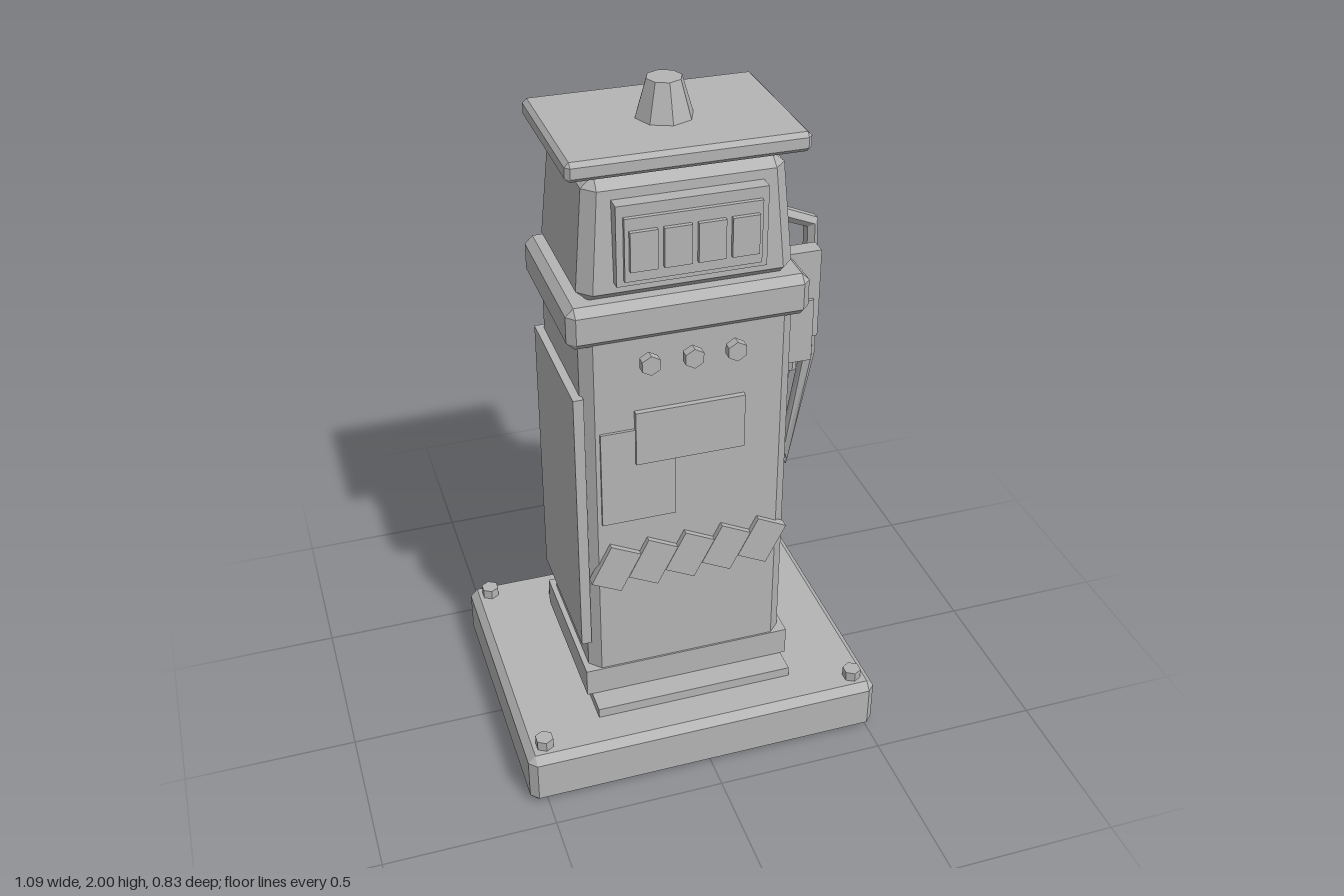
import * as THREE from 'three';
import { ConvexGeometry } from 'three/addons/geometries/ConvexGeometry.js';

const grey = new THREE.MeshStandardMaterial({ color: 0xb4b4b4, flatShading: true });
grey.name = 'plain grey';
const CX = -0.015; // centre line of the pump body

export function createModel() {
  const root = new THREE.Group();
  root.name = 'fuelPump';

  const add = (name, geometry, x = 0, y = 0, z = 0) => {
    const mesh = new THREE.Mesh(geometry, grey);
    mesh.name = name;
    mesh.position.set(x, y, z);
    root.add(mesh);
    return mesh;
  };

  // Box given by its limits on each axis
  const box = (name, x0, x1, y0, y1, z0, z1) =>
    add(name, new THREE.BoxGeometry(x1 - x0, y1 - y0, z1 - z0), (x0 + x1) / 2, (y0 + y1) / 2, (z0 + z1) / 2);

  // Box with bevelled edges; c bevels sideways, cy vertically, taper narrows the top
  const bevelBox = (name, w, d, y0, y1, c, cy = c, taper = 0, x = CX, z = 0) => {
    const pts = [], h = (y1 - y0) / 2;
    const put = (px, py, pz) => {
      const s = 1 - taper * (py + h) / (2 * h);
      pts.push(new THREE.Vector3(px * s, py, pz * s));
    };
    for (const sx of [-1, 1]) for (const sy of [-1, 1]) for (const sz of [-1, 1]) {
      put(sx * w / 2, sy * (h - cy), sz * (d / 2 - c));
      put(sx * (w / 2 - c), sy * (h - cy), sz * d / 2);
      if (cy > 0) put(sx * (w / 2 - c), sy * h, sz * (d / 2 - c));
    }
    return add(name, new ConvexGeometry(pts), x, (y0 + y1) / 2, z);
  };

  // Base slab, bolts and stepped plinth
  bevelBox('baseSlab', 1.07, 0.83, 0, 0.17, 0.022);
  for (const sx of [-1, 1]) for (const sz of [-1, 1])
    add('baseBolt', new THREE.CylinderGeometry(0.027, 0.027, 0.04, 6), CX + sx * 0.477, 0.18, sz * 0.357);
  box('lowerPlinth', -0.312, 0.282, 0.165, 0.2, -0.297, 0.297);
  box('upperPlinth', -0.327, 0.297, 0.2, 0.288, -0.225, 0.225);

  // Main column, collar, head, roof and finial
  bevelBox('column', 0.592, 0.44, 0.285, 1.385, 0.032, 0);
  bevelBox('collar', 0.665, 0.475, 1.38, 1.5, 0.022);
  bevelBox('head', 0.592, 0.43, 1.495, 1.832, 0.036, 0.03, 0.1);
  box('roofNeck', CX - 0.2, CX + 0.2, 1.82, 1.85, -0.13, 0.13);
  bevelBox('roof', 0.64, 0.45, 1.845, 1.898, 0.012);
  add('finial', new THREE.CylinderGeometry(0.048, 0.079, 0.104, 8), CX, 1.948, 0);

  // Details repeated on front and back
  for (const s of [1, -1]) {
    const plate = (name, w, h, x, y, zIn, zOut) =>
      add(name, new THREE.BoxGeometry(w, h, zOut - zIn), x, y, s * (zIn + zOut) / 2);
    plate('displayFrame', 0.403, 0.223, CX, 1.665, 0.18, 0.238);
    plate('displayPanel', 0.366, 0.175, CX, 1.658, 0.23, 0.25);
    for (let i = 0; i < 4; i++)
      plate('displayWindow', 0.073, 0.11, CX + (i - 1.5) * 0.09, 1.657, 0.24, 0.262);
    for (let i = -1; i <= 1; i++) {
      const knob = add('knob', new THREE.CylinderGeometry(0.029, 0.029, 0.026, 6), CX + i * 0.119, 1.322, s * 0.25);
      knob.rotation.x = Math.PI / 2;
      const stem = add('knobStem', new THREE.CylinderGeometry(0.012, 0.012, 0.04, 6), CX + i * 0.119, 1.322, s * 0.225);
      stem.rotation.x = Math.PI / 2;
    }
    plate('noticePlate', 0.31, 0.165, CX, 1.082, 0.21, 0.236);
    for (let i = -2; i <= 2; i++)
      plate('slantedTile', 0.096, 0.132, CX + i * 0.109, 0.657, 0.21, 0.237).rotation.z = -0.47;
  }
  box('frontSidePlate', -0.267, -0.055, 0.81, 1.108, 0.21, 0.228);
  box('rearHatch', 0.02, 0.195, 0.3, 0.54, -0.229, -0.21);
  box('sidePanel', -0.334, -0.305, 0.385, 1.22, -0.21, 0.21);

  // Nozzle holder on the left side
  box('holderBlock', 0.27, 0.377, 1.165, 1.355, -0.09, 0.118);
  box('holderHanger', 0.3, 0.396, 1.235, 1.5, 0.058, 0.108);
  box('holderPeg', 0.37, 0.413, 1.18, 1.216, -0.04, 0.03);

  // Nozzle
  bevelBox('nozzleBody', 0.048, 0.055, 1.16, 1.362, 0.012, 0.012, 0, 0.392, -0.06);
  add('nozzleSpout', new THREE.CylinderGeometry(0.017, 0.017, 0.14, 6), 0.39, 1.102, -0.06);

  // Hose: straight runs with mitred corners
  const pts = [
    [0.27, 1.55, -0.12], [0.477, 1.448, -0.167], [0.523, 0.965, -0.245],
    [0.465, 0.56, -0.27], [0.392, 0.718, -0.208], [0.418, 1.195, -0.106],
  ].map(p => new THREE.Vector3(...p));
  const last = pts.length - 1;
  const dir = i => pts[i + 1].clone().sub(pts[i]).normalize();
  const path = new THREE.Curve();
  path.getPoint = path.getPointAt = u => pts[Math.round(u * last)].clone();
  path.getTangent = path.getTangentAt = u => {
    const i = Math.round(u * last);
    return dir(Math.max(i - 1, 0)).add(dir(Math.min(i, last - 1))).normalize();
  };
  add('hose', new THREE.TubeGeometry(path, last, 0.023, 6));
  for (const [i, t] of [[0, dir(0).negate()], [last, dir(last - 1)]]) {
    const cap = add('hoseEnd', new THREE.CircleGeometry(0.023, 6), ...pts[i].toArray());
    cap.lookAt(pts[i].clone().add(t));
  }

  return root;
}
